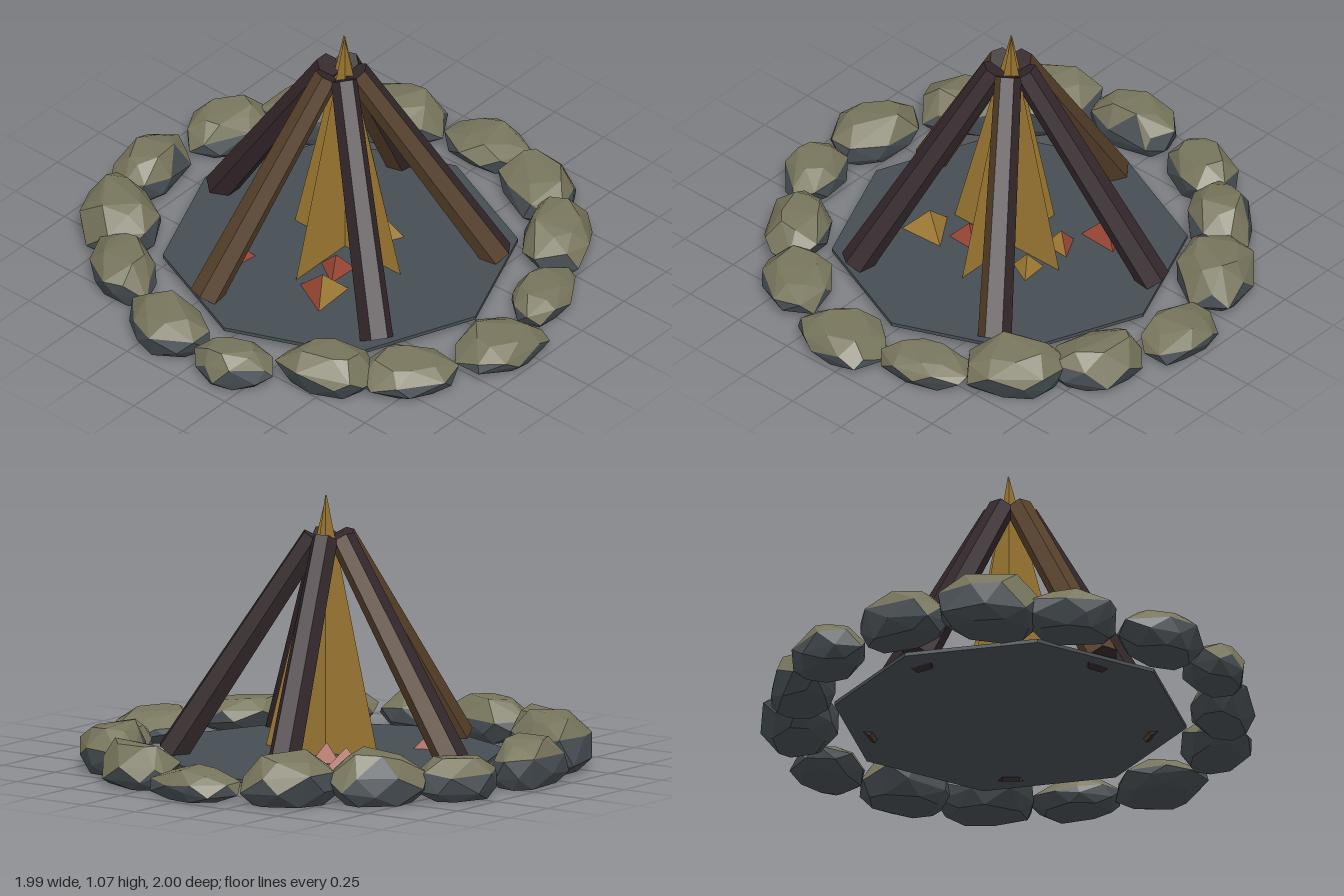
import * as THREE from 'three';
import { ConvexGeometry } from 'three/addons/geometries/ConvexGeometry.js';

const mat = (name, color, extra = {}) =>
  Object.assign(new THREE.MeshStandardMaterial({ color, ...extra }), { name });

// small seeded generator for stone irregularity
function seeded(seed) {
  let s = seed;
  return () => (s = (s * 16807) % 2147483647) / 2147483647;
}

// faceted copy of a geometry, with flat normals
function faceted(geometry) {
  const g = geometry.toNonIndexed();
  g.computeVertexNormals();
  g.clearGroups();
  return g;
}

// irregular stone fitted to its footprint, with facets sorted into top and side groups
function stoneGeometry(x0, x1, z0, z1, h, rand) {
  const cx = (x0 + x1) / 2, cz = (z0 + z1) / 2;
  const a = Math.atan2(cx, cz), points = [];
  const rings = [[0, 0.72], [0.3, 0.97], [0.62, 0.95], [0.97, 0.58]];
  rings.forEach(([y, r], ring) => {
    for (let i = 0; i < 7; i++) {
      const t = ((i + ring * 0.5 + rand() * 0.5) / 7) * Math.PI * 2;
      const k = r * (0.88 + rand() * 0.2);
      const u = Math.cos(t) * 0.2 * k, v = Math.sin(t) * 0.135 * k;
      const py = ring === 0 ? 0 : y + (rand() - 0.5) * 0.2;
      points.push(new THREE.Vector3(
        u * Math.cos(a) + v * Math.sin(a), py, -u * Math.sin(a) + v * Math.cos(a)));
    }
  });
  const b = new THREE.Box3().setFromPoints(points), size = b.getSize(new THREE.Vector3());
  points.forEach((p) => p.set(
    x0 + ((p.x - b.min.x) / size.x) * (x1 - x0),
    ((p.y - b.min.y) / size.y) * h,
    z0 + ((p.z - b.min.z) / size.z) * (z1 - z0)));

  const hull = new ConvexGeometry(points);
  const pos = hull.attributes.position.array, nor = hull.attributes.normal.array;
  const top = [], side = [];
  for (let i = 0; i < pos.length; i += 9) {
    (nor[i + 1] > 0.36 ? top : side).push(...pos.slice(i, i + 9));
  }
  const g = new THREE.BufferGeometry();
  g.setAttribute('position', new THREE.Float32BufferAttribute([...top, ...side], 3));
  g.computeVertexNormals();
  g.addGroup(0, top.length / 3, 0);
  g.addGroup(top.length / 3, side.length / 3, 1);
  return g;
}

export function createModel() {
  const model = new THREE.Group();
  model.name = 'campfire';
  const moss = mat('mossy stone', 0x77755c);
  const slate = mat('slate', 0x474e53);
  const bark = mat('dark bark', 0x33272a);
  const wood = mat('brown wood', 0x553f29);
  const gold = mat('flame gold', 0xa17c34, { side: THREE.DoubleSide });
  const red = mat('ember red', 0x9b4735);

  const add = (parent, name, geometry, material) => {
    const mesh = new THREE.Mesh(geometry, material);
    mesh.name = name;
    parent.add(mesh);
    return mesh;
  };

  // ash bed
  const bed = add(model, 'ashBed', faceted(new THREE.CylinderGeometry(0.69, 0.69, 0.015, 8)), slate);
  bed.position.set(0, 0.042, -0.02);

  // ring of stones: x0, x1, z0, z1, height
  const stones = [
    [-0.3, 0.07, -1, -0.76, 0.19], [0.09, 0.45, -0.97, -0.7, 0.17],
    [0.39, 0.72, -0.81, -0.48, 0.21], [0.58, 0.92, -0.55, -0.18, 0.2],
    [0.74, 1, -0.2, 0.16, 0.12], [0.61, 0.92, 0.16, 0.52, 0.17],
    [0.38, 0.74, 0.43, 0.78, 0.19], [0.1, 0.46, 0.65, 0.9, 0.12],
    [-0.27, 0.12, 0.7, 1, 0.12], [-0.63, -0.28, 0.55, 0.88, 0.13],
    [-0.8, -0.5, 0.29, 0.65, 0.17], [-0.98, -0.73, 0.01, 0.33, 0.15],
    [-0.99, -0.71, -0.38, 0.02, 0.17], [-0.84, -0.52, -0.72, -0.36, 0.18],
    [-0.63, -0.27, -0.94, -0.57, 0.22],
  ];
  const ring = new THREE.Group();
  ring.name = 'stoneRing';
  model.add(ring);
  const rand = seeded(4242);
  stones.forEach((s, i) => add(ring, `stone${i + 1}`, stoneGeometry(...s, rand), [moss, slate]));

  // leaning hexagonal logs: direction in degrees, facets showing brown wood
  const logs = [[180, [4, 5]], [108, [3]], [36, [4, 5]], [-36, [3]], [-108, [0, 1, 2, 3, 4, 5]]];
  const topR = 0.06, botR = 0.61, topY = 0.9, botY = 0.05;
  const length = Math.hypot(botR - topR, topY - botY);
  logs.forEach(([deg, brown], i) => {
    const g = faceted(new THREE.CylinderGeometry(0.052, 0.066, length, 6, 1, false, -Math.PI / 6));
    for (let k = 0; k < 6; k++) g.addGroup(k * 6, 6, brown.includes(k) ? 1 : 0);
    g.addGroup(36, 36, 0);
    const pivot = new THREE.Group();
    pivot.name = `log${i + 1}`;
    pivot.position.z = -0.02;
    pivot.rotation.y = THREE.MathUtils.degToRad(deg);
    const log = add(pivot, 'logBody', g, [bark, wood]);
    log.position.set(0, (topY + botY) / 2, (topR + botR) / 2);
    log.rotation.x = -Math.atan2(botR - topR, topY - botY);
    model.add(pivot);
  });

  // two crossed flame sheets
  const sheet = new THREE.Shape([
    new THREE.Vector2(-0.275, 0.05), new THREE.Vector2(0.265, 0.05), new THREE.Vector2(0.015, 1.07)]);
  [0, Math.PI / 2].forEach((turn, i) => {
    const flame = add(model, `flame${i + 1}`, new THREE.ShapeGeometry(sheet), gold);
    flame.rotation.y = turn;
    flame.position.set(i ? 0.015 : 0, 0, i ? 0 : -0.01);
  });

  // embers: x, z, radius, height, turn, facets showing gold
  const embers = [
    [-0.32, -0.28, 0.08, 0.07, 0.9, []], [0.26, -0.29, 0.1, 0.09, 1.0, []],
    [0.17, -0.13, 0.07, 0.08, 1.0, [2]], [0.17, 0.07, 0.07, 0.08, 0.6, [0, 2]],
    [-0.28, 0.13, 0.11, 0.1, 1.1, [0, 2]], [-0.13, 0.07, 0.08, 0.08, 1.0, []],
  ];
  embers.forEach(([x, z, r, h, turn, golden], i) => {
    const g = faceted(new THREE.ConeGeometry(r, h, 3));
    for (let k = 0; k < 3; k++) g.addGroup(k * 3, 3, golden.includes(k) ? 1 : 0);
    g.addGroup(9, 9, 0);
    const ember = add(model, `ember${i + 1}`, g, [red, gold]);
    ember.position.set(x, 0.048 + h / 2, z);
    ember.rotation.y = turn;
  });

  return model;
}
